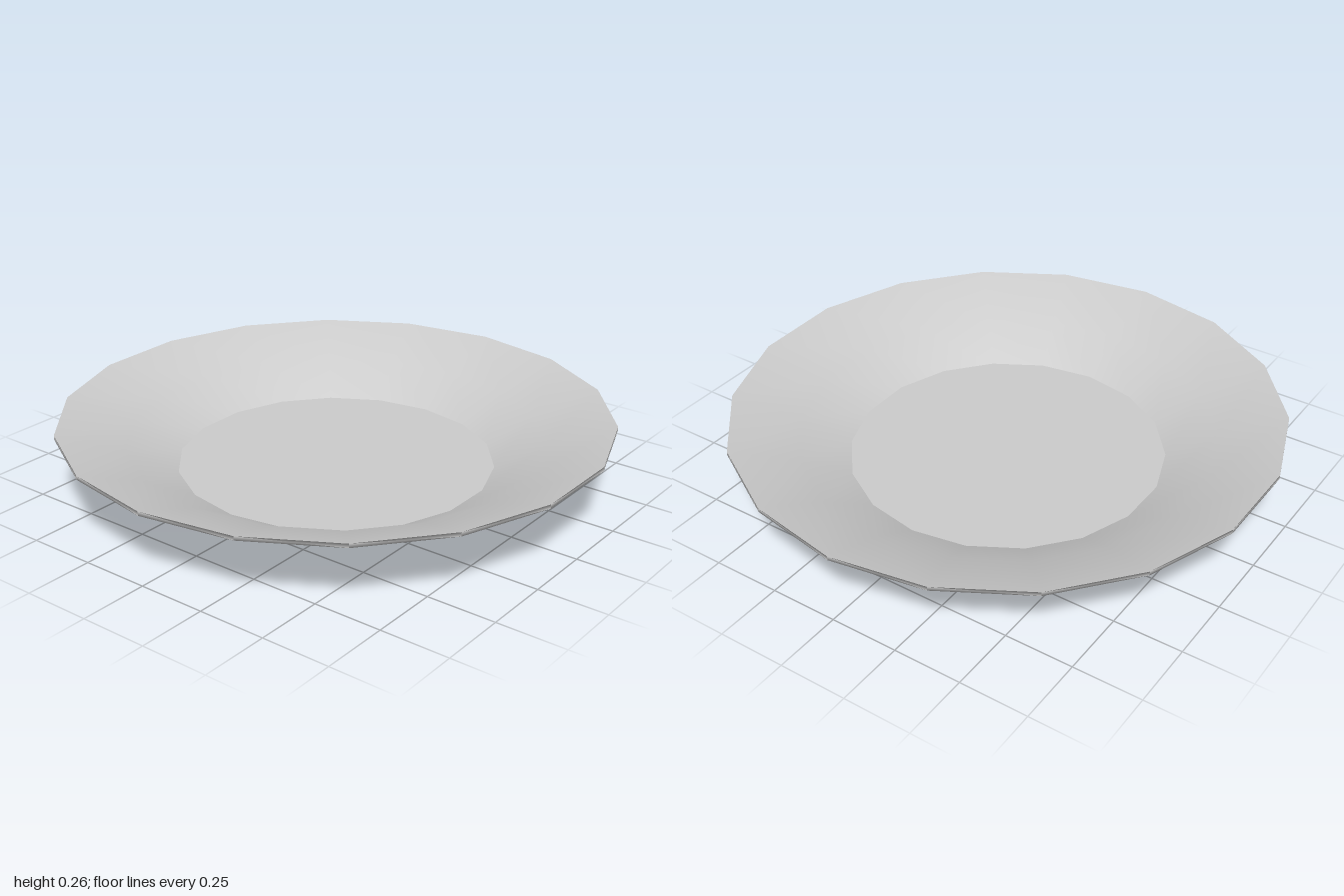
import * as THREE from 'three';

const SIDES = 18;

export function createModel() {
  const plate = new THREE.Group();
  plate.name = 'plate';
  const material = new THREE.MeshStandardMaterial({ color: 0xcccccc });

  // Revolves a [radius, height] profile; normals are smooth within one profile
  const addRing = (name, profile) => {
    const points = profile.map(([r, y]) => new THREE.Vector2(r, y));
    const mesh = new THREE.Mesh(new THREE.LatheGeometry(points, SIDES), material);
    mesh.name = name;
    plate.add(mesh);
  };

  // Flat underside, with a hard edge to the body
  addRing('foot', [[0, 0], [0.43, 0]]);

  // Outer wall, thin rim and inner wall as one smooth shell
  addRing('body', [
    [0.43, 0], [0.74, 0.16], [1, 0.25],
    [1, 0.265], [0.755, 0.18], [0.575, 0.083],
  ]);

  // Flat eating surface, with a hard edge to the inner wall
  addRing('floor', [[0.575, 0.083], [0, 0.083]]);

  return plate;
}
